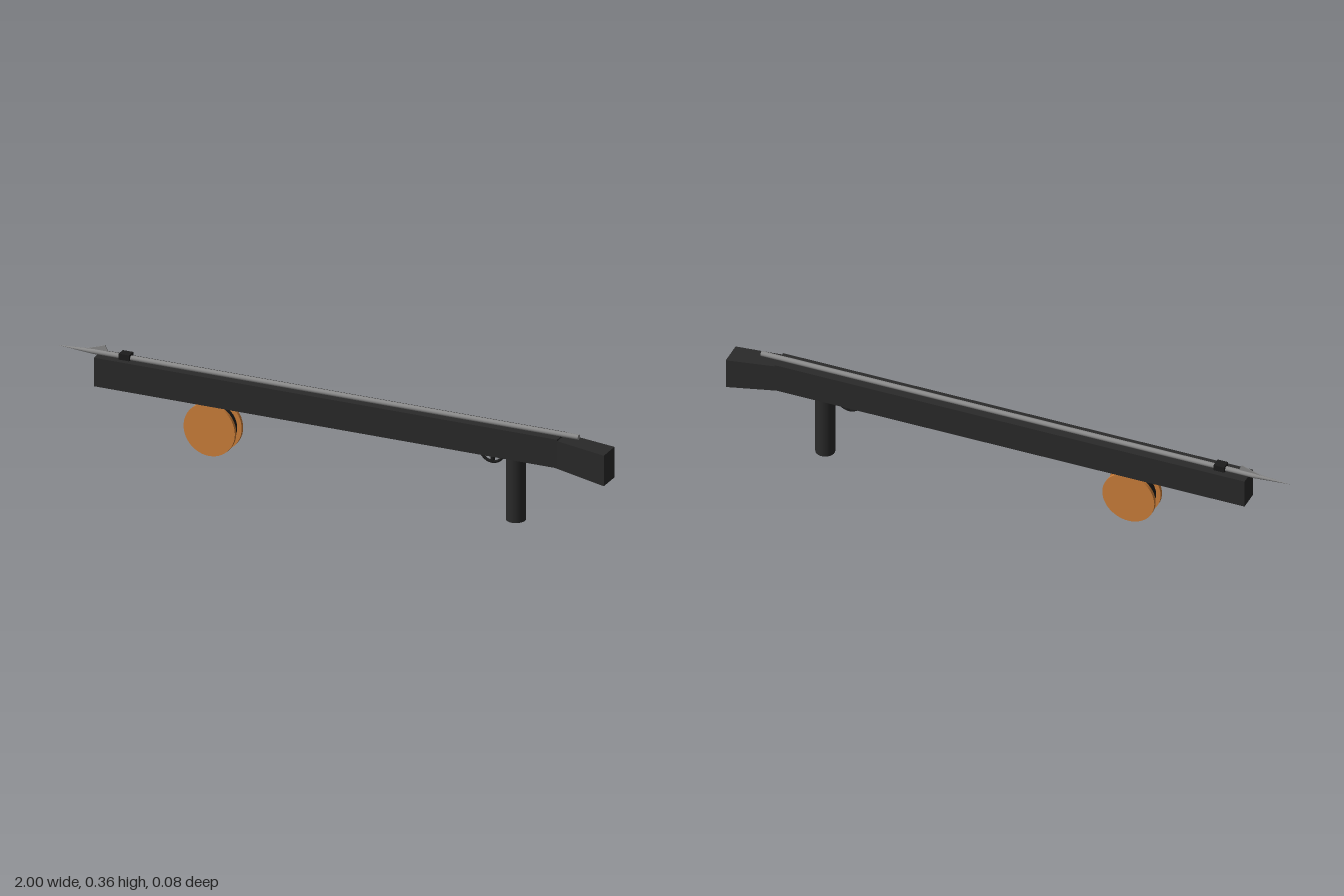
import * as THREE from 'three';

function material(name, color, side = THREE.FrontSide) {
  const m = new THREE.MeshStandardMaterial({ color, side });
  m.name = name;
  return m;
}

export function createModel() {
  const group = new THREE.Group();
  const black = material('matte black', 0x2a2a2a);
  const darker = material('deep black', 0x1c1c1c);
  const steel = material('steel grey', 0x8a8a8a, THREE.DoubleSide);
  const bronze = material('bronze', 0xcd7f3a);

  function add(name, geometry, mat, x, y, z = 0) {
    const mesh = new THREE.Mesh(geometry, mat);
    mesh.name = name;
    mesh.position.set(x, y, z);
    group.add(mesh);
    return mesh;
  }

  // Long straight barrel
  add('barrel', new THREE.BoxGeometry(1.68, 0.102, 0.073), black, -0.012, 0.276);

  // Butt: a box flared and dropped towards the rear
  const butt = new THREE.BoxGeometry(1, 1, 1);
  const p = butt.attributes.position;
  for (let i = 0; i < p.count; i++) {
    const rear = p.getX(i) > 0;
    const up = p.getY(i) > 0;
    const half = rear ? 0.042 : 0.035;
    p.setXYZ(i, rear ? 1 : 0.815, rear ? (up ? 0.302 : 0.193) : (up ? 0.323 : 0.225), Math.sign(p.getZ(i)) * half);
  }
  butt.computeVertexNormals();
  add('butt', butt, black, 0, 0, 0);

  // Hand grip
  add('grip', new THREE.CylinderGeometry(0.033, 0.033, 0.23, 32), black, 0.662, 0.115);

  // Trigger and its ring guard
  add('triggerGuard', new THREE.TorusGeometry(0.043, 0.005, 10, 32), darker, 0.576, 0.235);
  add('trigger', new THREE.BoxGeometry(0.01, 0.045, 0.01), darker, 0.578, 0.212);

  // Shaft lying on the barrel, with a pointed tip
  const shaftEnd = 0.89, shaftStart = -0.87;
  add('shaft', new THREE.CylinderGeometry(0.009, 0.009, shaftEnd - shaftStart, 12).rotateZ(Math.PI / 2),
    steel, (shaftEnd + shaftStart) / 2, 0.333);
  add('spearTip', new THREE.ConeGeometry(0.009, 0.13, 12).rotateZ(Math.PI / 2), steel, -0.935, 0.333);

  // Thin barb rising behind the tip
  const barb = new THREE.Shape([
    new THREE.Vector2(-0.91, 0.335), new THREE.Vector2(-0.815, 0.338), new THREE.Vector2(-0.827, 0.362),
  ]);
  add('barb', new THREE.ExtrudeGeometry(barb, { depth: 0.003, bevelEnabled: false }), steel, 0, 0, -0.0015);

  // Muzzle block holding the shaft
  add('muzzle', new THREE.BoxGeometry(0.038, 0.026, 0.034), darker, -0.752, 0.335);

  // Line reel: two flanges around a dark spool
  const reelX = -0.435, reelY = 0.14;
  const disc = (r, depth) => new THREE.CylinderGeometry(r, r, depth, 48).rotateX(Math.PI / 2);
  for (const side of [-1, 1]) {
    add(side > 0 ? 'reelFlangeFront' : 'reelFlangeBack', disc(0.093, 0.012), bronze, reelX, reelY, side * 0.027);
  }
  add('reelSpool', disc(0.077, 0.045), darker, reelX, reelY);

  return group;
}
